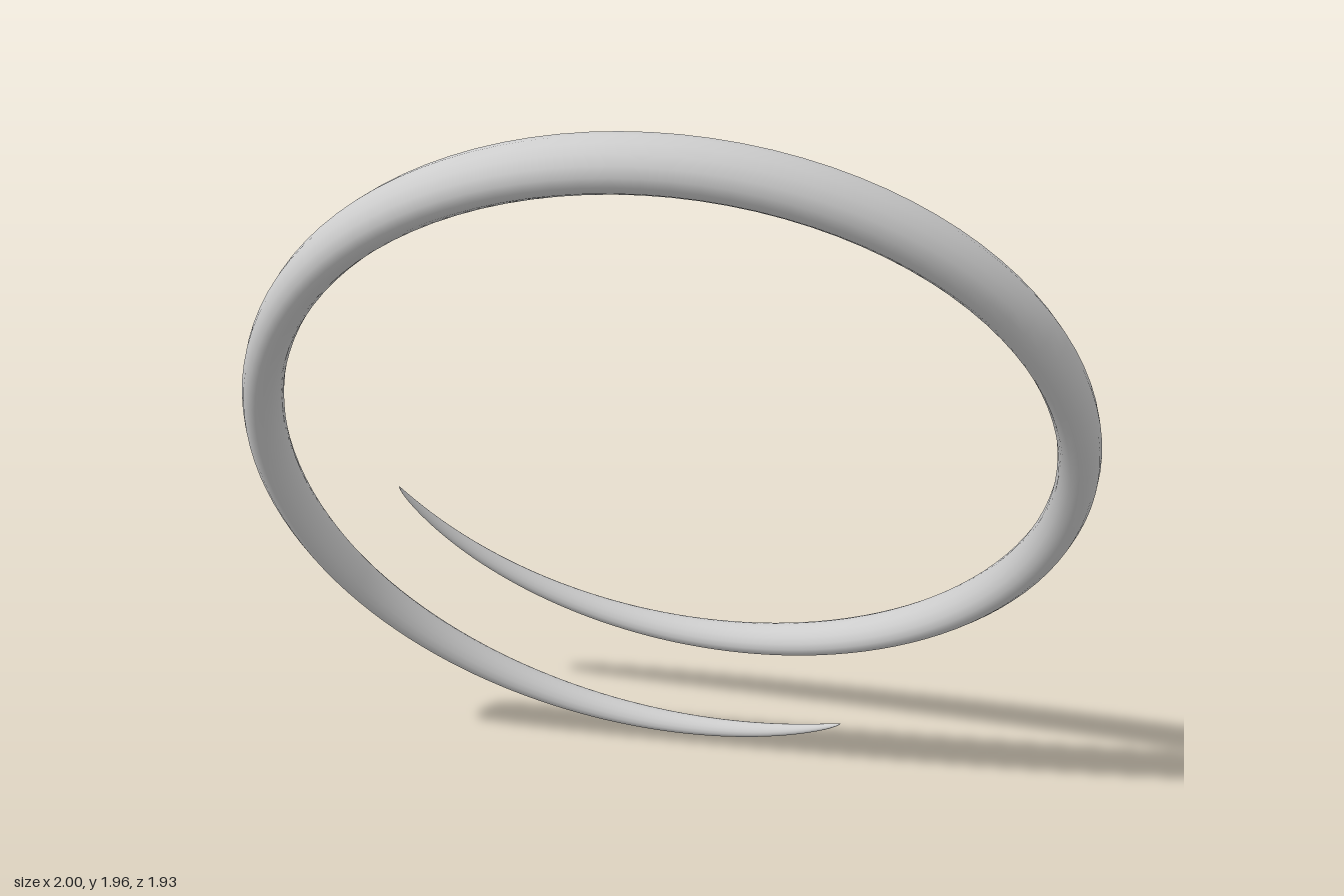
import * as THREE from 'three';

// Tilted helix frame: axis plus two directions spanning the ring plane
const axis = new THREE.Vector3(1, 1, -1).normalize();
const uDir = new THREE.Vector3(1, -1, 0).normalize();
const vDir = new THREE.Vector3().crossVectors(axis, uDir);
const centre = new THREE.Vector3(-0.003, 1.028, 0.027);
const START = 4.5, END = 452.8;
const HALF_THICK = 0.06, HALF_WIDTH = 0.082;

const radial = (deg) => {
  const a = THREE.MathUtils.degToRad(deg);
  return uDir.clone().multiplyScalar(Math.cos(a)).addScaledVector(vDir, Math.sin(a));
};

// Full section in the middle, fading to a point at both ends
const taper = (deg) => {
  const s = Math.max(0, Math.sin(Math.PI * (deg - START) / (END - START)));
  return Math.max(0.004, Math.pow(s, 0.56));
};

// Centre line, drawn slightly inward at the tips
const spine = (deg) => centre.clone()
  .addScaledVector(radial(deg), 1.088 - 0.038 * (1 - taper(deg)) ** 2)
  .addScaledVector(axis, (deg - 228.5) * 0.00095);

// Elliptical cross-section swept along the helix
function bandGeometry(steps = 200, sides = 16) {
  const pos = [], index = [];
  for (let i = 0; i <= steps; i++) {
    // Rings crowd toward the tips
    const t = (1 - Math.cos(Math.PI * i / steps)) / 2;
    const deg = START + (END - START) * t;
    const c = spine(deg), r = radial(deg), k = taper(deg);
    for (let j = 0; j < sides; j++) {
      const a = j / sides * Math.PI * 2;
      const p = c.clone()
        .addScaledVector(r, Math.cos(a) * HALF_THICK * k)
        .addScaledVector(axis, Math.sin(a) * HALF_WIDTH * k);
      pos.push(p.x, p.y, p.z);
      if (i < steps) {
        const j2 = (j + 1) % sides;
        const p0 = i * sides + j, p1 = i * sides + j2;
        index.push(p0, p0 + sides, p1, p1, p0 + sides, p1 + sides);
      }
    }
  }
  const g = new THREE.BufferGeometry();
  g.setAttribute('position', new THREE.Float32BufferAttribute(pos, 3));
  g.setIndex(index);
  g.computeVertexNormals();
  return g;
}

export function createModel() {
  const group = new THREE.Group();
  group.name = 'spiralBand';
  const silver = new THREE.MeshStandardMaterial({ color: 0xcccccc });
  silver.name = 'silver';
  const crimson = new THREE.MeshStandardMaterial({ color: 0xe0143c });
  crimson.name = 'crimson';

  const band = new THREE.Mesh(bandGeometry(), silver);
  band.name = 'band';
  group.add(band);

  // Small stones on the outer face near each tail
  const stone = new THREE.SphereGeometry(1, 12, 8);
  [34, 61, 394.5, 421.5].forEach((deg, i) => {
    const r = radial(deg);
    const gem = new THREE.Mesh(stone, crimson);
    gem.name = 'gem' + (i + 1);
    gem.position.copy(spine(deg)).addScaledVector(r, HALF_THICK * taper(deg) + 0.004);
    const tangent = new THREE.Vector3().crossVectors(axis, r);
    gem.quaternion.setFromRotationMatrix(new THREE.Matrix4().makeBasis(r, tangent, axis));
    gem.scale.set(0.012, 0.017, 0.013);
    group.add(gem);
  });
  return group;
}
